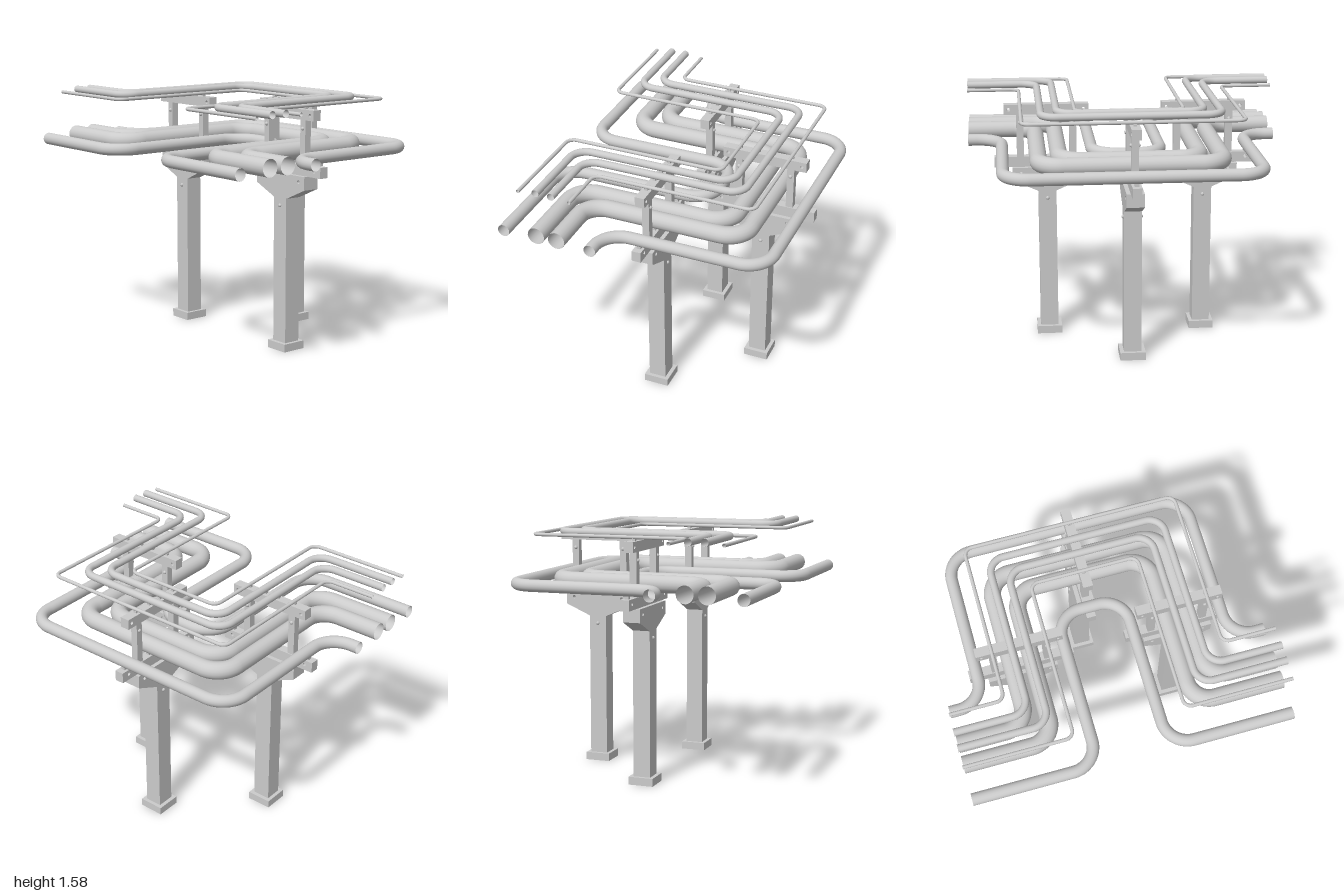
import * as THREE from 'three';

const grey = new THREE.MeshStandardMaterial({ color: 0xcccccc });
const pipeGrey = new THREE.MeshStandardMaterial({ color: 0xcccccc, side: THREE.DoubleSide });

function add(parent, name, geometry, x = 0, y = 0, z = 0, material = grey) {
  const mesh = new THREE.Mesh(geometry, material);
  mesh.name = name;
  mesh.position.set(x, y, z);
  parent.add(mesh);
  return mesh;
}

// Flat plate in the x-y plane with round holes, centred on z = 0
function plate(points, holes, depth, holeRadius = 0.011) {
  const shape = new THREE.Shape(points.map(([x, y]) => new THREE.Vector2(x, y)));
  for (const [x, y] of holes) {
    const hole = new THREE.Path();
    hole.absarc(x, y, holeRadius, 0, Math.PI * 2, true);
    shape.holes.push(hole);
  }
  const geometry = new THREE.ExtrudeGeometry(shape, { depth, bevelEnabled: false, curveSegments: 8 });
  return geometry.translate(0, 0, -depth / 2);
}

const rect = (w, y0, y1) => [[-w / 2, y0], [w / 2, y0], [w / 2, y1], [-w / 2, y1]];

// Square foot frame, open below, around the column
function footGeometry() {
  const square = (C, s) => new C([[-s, -s], [s, -s], [s, s], [-s, s]].map(([x, y]) => new THREE.Vector2(x, y)));
  const shape = square(THREE.Shape, 0.08);
  shape.holes.push(square(THREE.Path, 0.055));
  return new THREE.ExtrudeGeometry(shape, { depth: 0.05, bevelEnabled: false }).rotateX(-Math.PI / 2);
}

function createSupport() {
  const support = new THREE.Group();
  support.name = 'support';
  add(support, 'foot', footGeometry());

  // Column flaring into the bracket head
  const half = [[0.057, 0.03], [0.057, 0.968], [0.22, 1.04], [0.22, 1.123]];
  const outline = [...half, ...half.map(([x, y]) => [-x, y]).reverse()];
  add(support, 'column', plate(outline, [[-0.167, 1.087], [0.167, 1.087]], 0.11));

  // Lower and upper cross beams
  add(support, 'lowerBeam', plate(rect(0.665, 1.123, 1.19), [[-0.277, 1.16], [0.277, 1.16]], 0.058));
  add(support, 'upperBeam', plate(rect(0.535, 1.463, 1.527), [[-0.237, 1.495], [0.237, 1.495]], 0.06));

  // Posts between the beams, and bolt heads on both faces
  const bolt = new THREE.SphereGeometry(0.012, 10, 6);
  for (const x of [-0.167, 0.167]) {
    add(support, 'post', new THREE.BoxGeometry(0.045, 0.275, 0.045), x, 1.327, 0);
    for (const s of [-1, 1]) add(support, 'postBolt', bolt, x, 1.41, s * 0.022);
  }
  for (const s of [-1, 1]) add(support, 'columnBolt', bolt, 0, 0.92, s * 0.055);

  // Small pads under each pipe
  for (const x of [-0.283, -0.063, 0.063, 0.283])
    add(support, 'lowerPad', new THREE.BoxGeometry(0.025, 0.02, 0.025), x, 1.198, 0);
  for (const x of [-0.167, -0.048, 0.048, 0.167])
    add(support, 'upperPad', new THREE.BoxGeometry(0.02, 0.014, 0.02), x, 1.532, 0);
  return support;
}

// Loop of pipe: in from the left, back, across, forward and out to the right
function pipeGeometry(frontZ, side, radius, bend, y) {
  const corners = [[-1, frontZ], [-side, frontZ], [-side, -side], [side, -side], [side, frontZ], [1, frontZ]]
    .map(([x, z]) => new THREE.Vector3(x, y, z));
  const path = new THREE.CurvePath();
  let from = corners[0];
  for (let i = 1; i < corners.length - 1; i++) {
    const c = corners[i];
    const toward = (p, d) => c.clone().add(p.clone().sub(c).setLength(d));
    const a = toward(corners[i - 1], bend), b = toward(corners[i + 1], bend);
    path.add(new THREE.LineCurve3(from, a));
    path.add(new THREE.CubicBezierCurve3(a, toward(corners[i - 1], bend * 0.448), toward(corners[i + 1], bend * 0.448), b));
    from = b;
  }
  path.add(new THREE.LineCurve3(from, corners[corners.length - 1]));
  return new THREE.TubeGeometry(path, 280, radius, 18, false);
}

export function createModel() {
  const model = new THREE.Group();
  model.name = 'pipeExpansionLoop';

  // Two side supports and one turned support at the back
  for (const [x, z, turn] of [[-0.5, 0, 0], [0.5, 0, 0], [0, -0.5, Math.PI / 2]]) {
    const support = createSupport();
    support.position.set(x, 0, z);
    support.rotation.y = turn;
    model.add(support);
  }

  // Front z, side offset, radius, bend radius; each tier rests on its pads
  const tiers = {
    lowerPipe: [1.207, [[0.22, 0.783, 0.038, 0.16], [0.435, 0.565, 0.054, 0.14],
      [0.568, 0.435, 0.054, 0.14], [0.785, 0.218, 0.038, 0.16]]],
    upperPipe: [1.536, [[0.337, 0.667, 0.011, 0.05], [0.453, 0.548, 0.023, 0.1],
      [0.553, 0.45, 0.023, 0.1], [0.667, 0.335, 0.011, 0.05]]],
  };
  for (const [name, [base, pipes]] of Object.entries(tiers))
    for (const [z, side, r, bend] of pipes)
      add(model, name, pipeGeometry(z, side, r, bend, base + r), 0, 0, 0, pipeGrey);

  return model;
}
